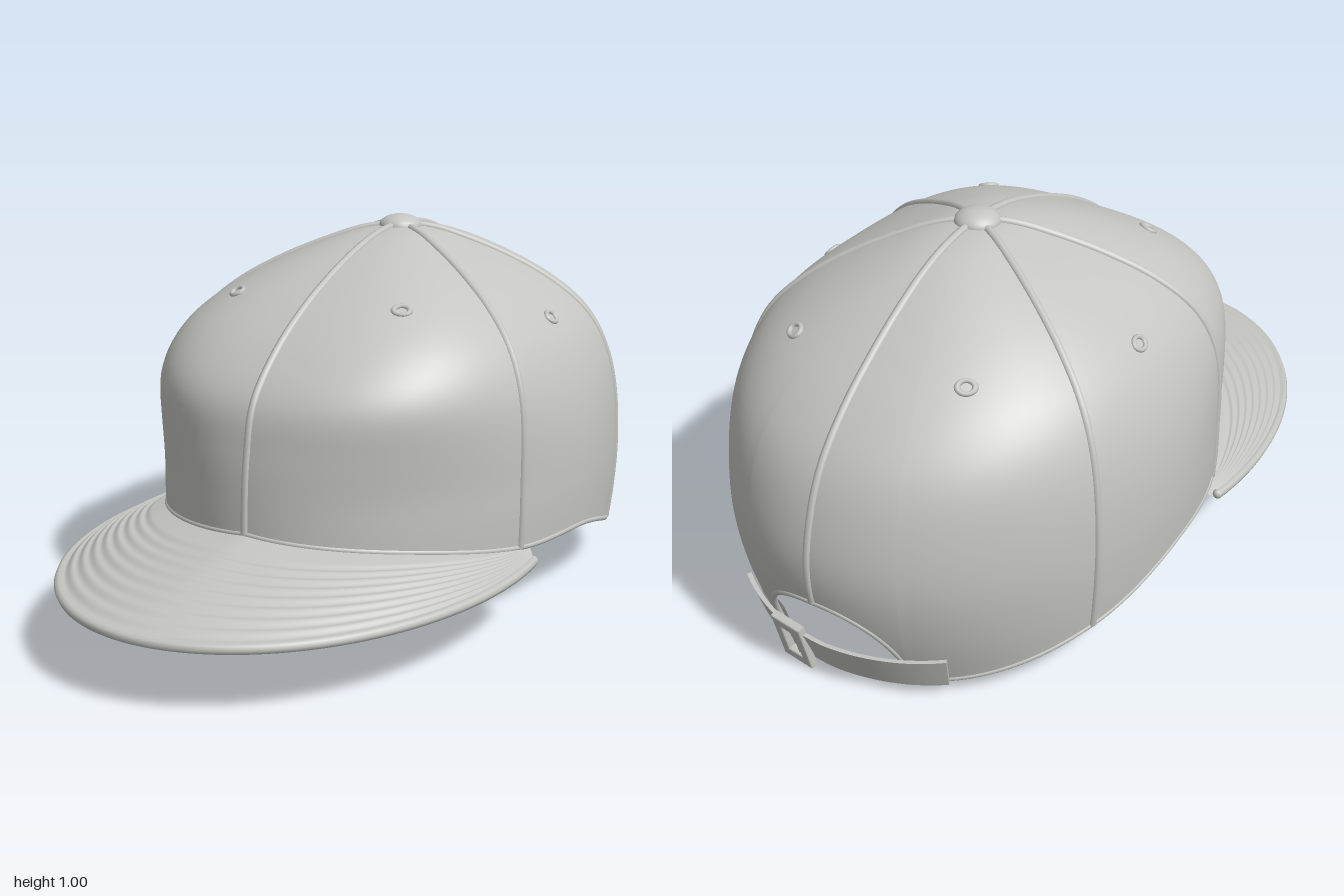
import * as THREE from 'three';
import { mergeVertices, toCreasedNormals } from 'three/addons/utils/BufferGeometryUtils.js';

const TOP = 0.975, AXIS_Z = -0.255, ARCH = THREE.MathUtils.degToRad(17.5);
const { PI, sin, cos, abs, min, max, sqrt } = Math;
const rad = THREE.MathUtils.degToRad;
const V = (x, y, z) => new THREE.Vector3(x, y, z);

// Crown radii (front, side, back) at even steps of w, where y = TOP * (1 - w * w)
const profile = new THREE.CatmullRomCurve3([
  [0, 0, 0], [0.12, 0.085, 0.12], [0.235, 0.17, 0.225], [0.365, 0.28, 0.33], [0.505, 0.395, 0.445],
  [0.635, 0.49, 0.565], [0.735, 0.548, 0.665], [0.768, 0.58, 0.722], [0.782, 0.59, 0.745],
  [0.785, 0.583, 0.715], [0.78, 0.565, 0.645],
].map((p) => V(...p)), false, 'catmullrom', 0.5);

// Height of the lower edge, every 30 degrees from front to back
const rimCurve = new THREE.CatmullRomCurve3(
  [0.295, 0.262, 0.215, 0.205, 0.125, 0.05, 0.03].map((y, i) => V(i, y, 0)), false, 'catmullrom', 0.5);

const rim = (a) => rimCurve.getPoint(min(1, min(abs(a), 2 * PI - abs(a)) / PI)).y;

// Lower edge including the arched opening at the back
function cutRim(a) {
  const d = abs(PI - abs(a)) / ARCH;
  return rim(a) + (d < 1 ? 0.24 * sqrt(1 - d * d) : 0);
}

// Point on the crown at angle a (0 = front) and height y, pushed outward by off
function crownPoint(a, y, off = 0) {
  const w = sqrt(max(0, TOP - y) / TOP);
  const r = profile.getPoint(min(1, w));
  const s = abs(sin(a)), c = cos(a);
  const boxy = 1 - THREE.MathUtils.smoothstep(w, 0.4, 0.8);
  const n = 2 + (c > 0 ? 1.0 : 0.4) * boxy;
  const along = c > 0 ? r.x : r.z;
  const R = (w < 1e-4 ? 0 : ((s / r.y) ** n + (abs(c) / along) ** n) ** (-1 / n)) + off;
  return V(R * sin(a), y, AXIS_Z + R * c);
}

// Smooth sheet from a function of two 0..1 parameters
function sheet(nu, nv, fn) {
  const pos = [], idx = [];
  for (let i = 0; i <= nu; i++) for (let j = 0; j <= nv; j++) pos.push(...fn(i / nu, j / nv).toArray());
  for (let i = 0; i < nu; i++) for (let j = 0; j < nv; j++) {
    const a = i * (nv + 1) + j, b = a + nv + 1;
    idx.push(a, a + 1, b, b, a + 1, b + 1);
  }
  let g = new THREE.BufferGeometry();
  g.setAttribute('position', new THREE.Float32BufferAttribute(pos, 3));
  g.setIndex(idx);
  g = mergeVertices(g, 1e-5);
  g.computeVertexNormals();
  return g;
}

const tube = (pts, r, segs, closed = false) =>
  new THREE.TubeGeometry(new THREE.CatmullRomCurve3(pts, closed), segs, r, 8, closed);

export function createModel() {
  const group = new THREE.Group();
  const cloth = new THREE.MeshStandardMaterial({ color: 0xc4c4c0, side: THREE.DoubleSide });
  cloth.name = 'light grey cloth';
  const add = (name, geo) => {
    const m = new THREE.Mesh(geo, cloth);
    m.name = name;
    group.add(m);
    return m;
  };

  // Crown: columns bunch up at the ends of the arch to keep its edge smooth
  const column = (u) => u < 0.75
    ? THREE.MathUtils.lerp(-(PI - ARCH), PI - ARCH, u / 0.75)
    : PI + ARCH * sin((u - 0.875) / 0.125 * PI / 2);
  add('crown', sheet(160, 48, (u, v) => {
    const a = column(u);
    return crownPoint(a, TOP - (TOP - cutRim(a)) * v * v);
  }));
  const edge = [];
  for (let i = 0; i < 160; i++) {
    const a = column(i / 160);
    edge.push(crownPoint(a, cutRim(a), -0.004));
  }
  add('crownEdge', tube(edge, 0.008, 320, true));

  // Six raised seams
  for (let k = 0; k < 6; k++) {
    const a = rad(k * 60), pts = [];
    for (let j = 1; j <= 24; j++) {
      pts.push(crownPoint(a, TOP - (TOP - cutRim(a)) * (j / 24) ** 2, -0.004));
    }
    add('seam', tube(pts, 0.011, 60));
  }

  // Eyelets, one per panel, turned to face along the surface normal
  for (const [deg, y] of [[30, 0.83], [90, 0.76], [150, 0.79]]) for (const side of [1, -1]) {
    const a = rad(deg) * side, p = crownPoint(a, y);
    const du = crownPoint(a + 0.02, y).sub(p), dv = crownPoint(a, y - 0.02).sub(p);
    const n = dv.cross(du).normalize();
    if (n.y < 0) n.negate();
    const eyelet = add('eyelet', new THREE.TorusGeometry(0.019, 0.007, 8, 24));
    eyelet.scale.set(1.1, 0.9, 1);
    eyelet.position.copy(p);
    eyelet.lookAt(p.clone().add(n));
  }

  // Top button
  const button = add('button', new THREE.SphereGeometry(0.06, 32, 16));
  button.scale.y = 0.55;
  button.position.set(0, 0.97, AXIS_Z);

  // Sweatband inside the lower edge
  add('sweatband', sheet(120, 6, (u, v) => {
    const a = (2 * u - 1) * (PI - ARCH);
    return crownPoint(a, rim(a) + 0.1 * v, -0.016 - 0.006 * sin(v * PI));
  }));

  // Brim: ruled between the crown edge and a half-oval outline, with stitched ripples
  const outline = (t) => V(0.578 * sin(t * rad(102)), 0.178, 0.2 + 0.787 * cos(t * rad(102)));
  const brimPoint = (u, v, drop) => {
    const t = 2 * u - 1, a = t * rad(64);
    const p = crownPoint(a, rim(a), -0.012).lerp(outline(t), v);
    const fade = 1 - t ** 4;
    p.y += 0.012 * sin(PI * v) * fade - drop;
    if (!drop && v > 0.2) p.y += 0.0025 * fade * (cos((v - 0.2) / 0.8 * 16 * PI) - 1);
    return p;
  };
  add('brimTop', sheet(80, 80, (u, v) => {
    const p = brimPoint(u, v, 0);
    p.y += 0.012 * v;
    return p;
  }));
  add('brimUnderside', sheet(80, 12, (u, v) => brimPoint(u, v, 0.026 - 0.013 * v)));
  const rimPts = [];
  for (let i = 0; i <= 60; i++) rimPts.push(outline(i / 30 - 1));
  add('brimEdge', tube(rimPts, 0.0135, 160));
  for (const t of [-1, 1]) {
    add('brimTip', new THREE.SphereGeometry(0.0135, 12, 8)).position.copy(outline(t));
  }

  // Strap bridging the opening, its ends lying over the crown
  const corners = [[0, 0], [1, 0], [1, 1], [0, 1], [0, 0]];
  const strap = sheet(48, 4, (u, v) => {
    const a = rad(THREE.MathUtils.lerp(152, 206, u));
    const [out, up] = corners[Math.round(v * 4)];
    return crownPoint(a, rim(a) - 0.004 + 0.095 * up, 0.006 + 0.012 * out);
  });
  add('strap', toCreasedNormals(strap, rad(40)));
  for (const deg of [152, 206]) {
    const a = rad(deg);
    add('strapEnd', sheet(1, 1, (u, v) => crownPoint(a, rim(a) - 0.004 + 0.095 * v, 0.006 + 0.012 * u)));
  }

  // Buckle: rectangular frame with a prong
  const buckle = new THREE.Group();
  buckle.name = 'buckle';
  const rect = (P, w, h) => {
    const pts = [[-w, -h], [w, -h], [w, h], [-w, h]];
    return new P(pts.map(([x, y]) => new THREE.Vector2(x, y)));
  };
  const shape = rect(THREE.Shape, 0.046, 0.068);
  shape.holes.push(rect(THREE.Path, 0.027, 0.045));
  const frame = new THREE.Mesh(new THREE.ExtrudeGeometry(shape, {
    depth: 0.014, bevelEnabled: true, bevelSize: 0.004, bevelThickness: 0.004, bevelSegments: 2,
  }), cloth);
  frame.name = 'buckleFrame';
  const prong = new THREE.Mesh(new THREE.BoxGeometry(0.012, 0.1, 0.012), cloth);
  prong.name = 'buckleProng';
  prong.position.set(0.012, 0, 0.004);
  buckle.add(frame, prong);
  const ba = rad(171), at = crownPoint(ba, 0.076, 0.016);
  buckle.position.copy(at);
  buckle.lookAt(at.clone().add(V(sin(ba), -0.25, cos(ba))));
  group.add(buckle);

  return group;
}
